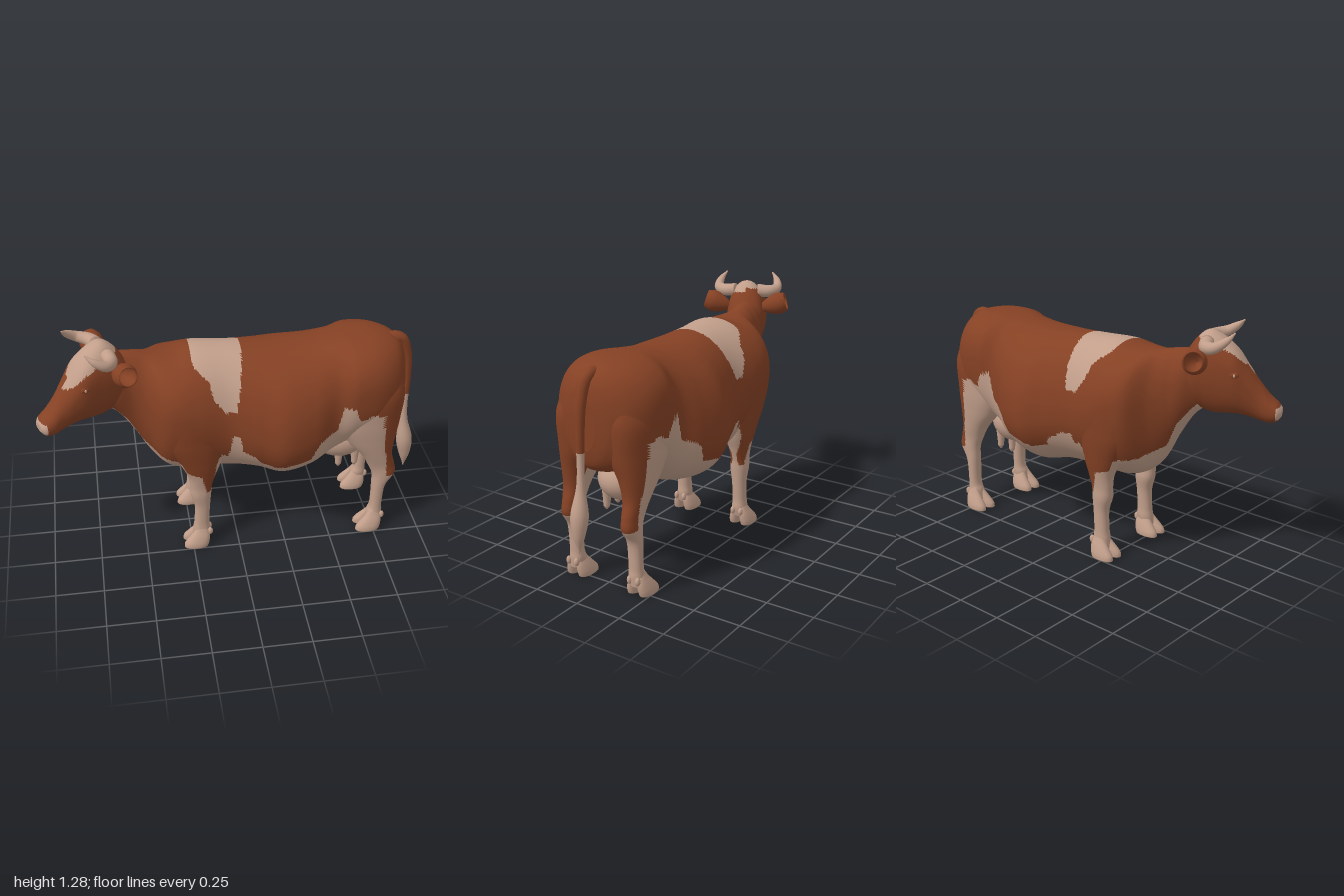
import * as THREE from 'three';

const brown = new THREE.MeshStandardMaterial({ color: 0x854124 });
brown.name = 'russet hide';
const cream = new THREE.MeshStandardMaterial({ color: 0xc19e8a });
cream.name = 'cream hide';

// Straight-line lookup in [x, y] points
function lookup(pts, x) {
  if (x <= pts[0][0]) return pts[0][1];
  for (let i = 1; i < pts.length; i++) {
    const [a, b] = [pts[i - 1], pts[i]];
    if (x <= b[0]) return a[1] + (b[1] - a[1]) * (x - a[0]) / (b[0] - a[0]);
  }
  return pts[pts.length - 1][1];
}

// Smooth blend of section rows, t in 0..1
function blend(rows, t) {
  const f = t * (rows.length - 1), i = Math.min(Math.floor(f), rows.length - 2), k = f - i;
  const row = j => rows[Math.max(0, Math.min(rows.length - 1, j))];
  return rows[0].map((_, c) => {
    const [p, q, r, s] = [row(i - 1)[c], row(i)[c], row(i + 1)[c], row(i + 2)[c]];
    return q + 0.5 * k * (r - p + k * (2 * p - 5 * q + 4 * r - s + k * (3 * (q - r) + s - p)));
  });
}

// Closed skin through rings; isCream(x, y, z) picks the colour of each face
function skin(name, pointAt, n, m, isCream) {
  const pos = [], tris = [];
  for (let i = 0; i <= n; i++)
    for (let j = 0; j < m; j++) pos.push(pointAt(i / n, j / m * Math.PI * 2));
  for (const start of [0, n * m]) {
    const mid = new THREE.Vector3();
    for (let j = 0; j < m; j++) mid.addScaledVector(pos[start + j], 1 / m);
    pos.push(mid);
  }
  for (let j = 0; j < m; j++) {
    const k = (j + 1) % m;
    for (let i = 0; i < n; i++) {
      const a = i * m + j, b = i * m + k;
      tris.push([a, b, a + m], [b, b + m, a + m]);
    }
    tris.push([k, j, (n + 1) * m], [n * m + j, n * m + k, (n + 1) * m + 1]);
  }
  // Turn the faces outward
  let volume = 0;
  const cross = new THREE.Vector3();
  for (const [a, b, c] of tris) volume += pos[a].dot(cross.crossVectors(pos[b], pos[c]));
  if (volume < 0) tris.forEach(t => t.reverse());
  const parts = [[], []];
  for (const t of tris) {
    const c = [0, 1, 2].map(d => t.reduce((s, v) => s + pos[v].getComponent(d), 0) / 3);
    parts[isCream(...c) ? 1 : 0].push(...t);
  }
  const g = new THREE.BufferGeometry().setFromPoints(pos);
  g.setIndex([...parts[0], ...parts[1]]);
  g.addGroup(0, parts[0].length, 0);
  g.addGroup(parts[0].length, parts[1].length, 1);
  g.computeVertexNormals();
  const mesh = new THREE.Mesh(g, [brown, cream]);
  mesh.name = name;
  return mesh;
}

const power = (v, e) => Math.sign(v) * Math.pow(Math.abs(v), e);

// Upright rings: [x, top, bottom, halfWidth, widestY, roundness, zCentre]
const trunk = rows => (t, a) => {
  const [x, top, bottom, w, wy, e, zc] = blend(rows, t);
  const s = Math.sin(a);
  return new THREE.Vector3(x, wy + (s > 0 ? top - wy : wy - bottom) * power(s, e), zc + w * power(Math.cos(a), e));
};

// Level rings: [y, x0, x1, z0, z1], mirrored by side
const column = (rows, side) => (t, a) => {
  const [y, x0, x1, z0, z1] = blend(rows, t);
  return new THREE.Vector3((x0 + x1) / 2 + (x1 - x0) / 2 * power(Math.cos(a), 0.9), y,
    side * ((z0 + z1) / 2 + (z1 - z0) / 2 * power(Math.sin(a), 0.9)));
};

// Tapering tube: [x, y, z, radius]
function taper(name, rows, isCream, n = 40) {
  const curve = new THREE.CatmullRomCurve3(rows.map(r => new THREE.Vector3(r[0], r[1], r[2])));
  const fr = curve.computeFrenetFrames(n);
  return skin(name, (t, a) => {
    const i = Math.round(t * n), r = blend(rows, t)[3];
    return curve.getPoint(t).addScaledVector(fr.normals[i], r * Math.cos(a)).addScaledVector(fr.binormals[i], r * Math.sin(a));
  }, n, 18, isCream);
}

function ball(name, mat, x, y, z, sx, sy, sz) {
  const m = new THREE.Mesh(new THREE.SphereGeometry(1, 22, 16), mat);
  m.name = name;
  m.position.set(x, y, z);
  m.scale.set(sx, sy, sz);
  return m;
}

// Coat pattern: cream under the belly line and above the saddle line
const bellyLine = [[-0.68, 0.92], [-0.62, 0.86], [-0.55, 0.77], [-0.49, 0.64], [-0.4, 0.58], [-0.3, 0.56], [-0.27, 0.5],
  [-0.2, 0.48], [-0.17, 0.36], [-0.15, 0.36], [-0.13, 0.44], [-0.12, 0.55], [-0.09, 0.62], [-0.06, 0.6], [-0.04, 0.75],
  [0, 0.75], [0.01, 0.65], [0.08, 0.61], [0.11, 0.56], [0.18, 0.54], [0.3, 0.57], [0.36, 0.58], [0.4, 0.68], [0.5, 0.73],
  [0.53, 0.87], [0.59, 0.85], [0.62, 0.77], [0.68, 0.8], [0.75, 0.78], [0.765, 0.58], [0.79, 0.5], [0.8, 0.36], [0.9, 0.35]];
const saddleLine = [[-0.24, 1.2], [-0.22, 1.1], [-0.15, 1.04], [-0.13, 0.96], [-0.08, 0.89], [-0.02, 0.88], [0, 0.97],
  [0.02, 1.08], [0.05, 1.2]];
const coat = (x, y) => y < lookup(bellyLine, x) || y > lookup(saddleLine, x);
// The spike behind the foreleg is lower on the right, and the brisket is all cream
const bodyCoat = (x, y, z) => (coat(x, y) && !(z < 0 && Math.abs(x) < 0.1 && y > 0.66 && y < 0.8)) || (x < -0.1 && y < 0.55);
const allCream = () => true;

const bodyRows = [
  [-0.68, 1.12, 0.88, 0.06, 1.0, 1, 0.07], [-0.6, 1.15, 0.81, 0.1, 1.0, 1, 0.035], [-0.52, 1.145, 0.68, 0.108, 0.95, 1, 0.018],
  [-0.45, 1.13, 0.55, 0.15, 0.88, 1, 0.008], [-0.38, 1.12, 0.475, 0.245, 0.86, 0.95, 0], [-0.3, 1.12, 0.44, 0.275, 0.86, 0.94, 0],
  [-0.2, 1.14, 0.43, 0.28, 0.82, 1, 0], [-0.05, 1.135, 0.435, 0.27, 0.76, 1, 0], [0.1, 1.125, 0.43, 0.31, 0.72, 0.98, 0],
  [0.23, 1.12, 0.4, 0.35, 0.7, 0.96, 0], [0.38, 1.125, 0.43, 0.32, 0.72, 0.92, 0], [0.5, 1.14, 0.5, 0.267, 0.79, 0.82, 0],
  [0.6, 1.15, 0.56, 0.28, 0.9, 0.78, 0], [0.72, 1.15, 0.6, 0.268, 0.9, 0.82, 0], [0.82, 1.125, 0.62, 0.215, 0.88, 0.9, 0],
  [0.875, 1.07, 0.66, 0.135, 0.88, 0.95, 0], [0.897, 1.0, 0.74, 0.06, 0.88, 1, 0]];
const headRows = [
  [0.05, 1.12, 0.95, 0.07, 1.04, 1, 0], [0, 1.2, 0.88, 0.1, 1.06, 1, 0], [-0.06, 1.25, 0.85, 0.105, 1.06, 1, 0],
  [-0.12, 1.235, 0.84, 0.105, 1.06, 0.95, 0], [-0.2, 1.17, 0.845, 0.103, 1.05, 0.9, 0], [-0.26, 1.09, 0.84, 0.085, 0.99, 0.9, 0],
  [-0.32, 1.01, 0.825, 0.068, 0.92, 0.9, 0], [-0.37, 0.95, 0.815, 0.067, 0.88, 0.9, 0], [-0.41, 0.915, 0.825, 0.06, 0.87, 0.9, 0],
  [-0.43, 0.89, 0.85, 0.035, 0.87, 0.9, 0]];
const blazeLine = [[-0.32, 1.2], [-0.29, 1.05], [-0.25, 1.075], [-0.2, 1.125], [-0.12, 1.165], [-0.05, 1.185], [0, 1.2]];
const frontLegRows = [
  [0.05, -0.25, -0.165, 0.148, 0.224], [0.1, -0.245, -0.155, 0.142, 0.222], [0.15, -0.238, -0.158, 0.145, 0.218],
  [0.25, -0.235, -0.152, 0.142, 0.218], [0.33, -0.255, -0.145, 0.13, 0.225], [0.39, -0.258, -0.14, 0.134, 0.225],
  [0.46, -0.268, -0.12, 0.125, 0.235], [0.55, -0.31, -0.09, 0.1, 0.252], [0.7, -0.38, -0.07, 0.09, 0.272],
  [0.88, -0.38, -0.1, 0.09, 0.272], [1.02, -0.32, -0.16, 0.1, 0.18]];
const hindLegRows = [
  [0.05, 0.71, 0.8, 0.148, 0.224], [0.1, 0.72, 0.803, 0.142, 0.222], [0.15, 0.735, 0.8, 0.145, 0.218],
  [0.28, 0.735, 0.81, 0.142, 0.22], [0.36, 0.73, 0.855, 0.138, 0.222], [0.42, 0.705, 0.85, 0.135, 0.222],
  [0.5, 0.66, 0.83, 0.122, 0.235], [0.6, 0.575, 0.84, 0.09, 0.25], [0.72, 0.5, 0.862, 0.03, 0.262],
  [0.88, 0.5, 0.872, 0.02, 0.26], [1.02, 0.6, 0.83, 0.03, 0.2]];
// Claw rows: z is measured from the middle of the hoof
const clawRows = [[0, 0, 0.13, 0.002, 0.067], [0.025, 0.005, 0.138, 0, 0.066], [0.06, 0.035, 0.142, 0, 0.055],
  [0.09, 0.06, 0.137, 0, 0.042], [0.12, 0.08, 0.125, 0.005, 0.03]];

function leg(name, rows, toeX, side) {
  const g = new THREE.Group();
  g.name = name;
  g.add(skin('limb', column(rows, side), 120, 44, coat));
  for (const k of [-1, 1]) {
    const claw = clawRows.map(([y, a, b, c, d]) => [y, toeX + a, toeX + b, 0.187 + k * c, 0.187 + k * d]);
    g.add(skin('claw', column(claw, side), 16, 20, allCream));
    g.add(ball('dewclaw', cream, toeX + 0.143, 0.085, side * (0.187 + k * 0.024), 0.015, 0.022, 0.013));
  }
  return g;
}

function makeHead() {
  const head = new THREE.Group();
  head.name = 'head';
  head.position.set(-0.6, 0, 0.04);
  head.rotation.y = 0.41;
  head.add(skin('skull', trunk(headRows), 80, 56,
    (x, y, z) => y > lookup(blazeLine, x) + (z < 0 ? 0.025 : 0) || (x < -0.405 && y > 0.84 && y < 0.9)));
  const earProfile = [[0.001, 0], [0.022, 0.01], [0.043, 0.05], [0.058, 0.09], [0.06, 0.12], [0.049, 0.152], [0.044, 0.148],
    [0.052, 0.118], [0.049, 0.09], [0.032, 0.05], [0.001, 0.035]];
  for (const s of [-1, 1]) {
    head.add(taper('horn', [[-0.065, 1.2, s * 0.06, 0.036], [-0.075, 1.195, s * 0.125, 0.033], [-0.12, 1.205, s * 0.165, 0.027],
      [-0.175, 1.24, s * 0.158, 0.018], [-0.21, 1.275, s * 0.13, 0.004]], allCream, 24));
    // Cupped ear pointing outward and a little up
    const ear = new THREE.Mesh(new THREE.LatheGeometry(earProfile.map(p => new THREE.Vector2(...p)), 28), brown);
    ear.name = 'ear';
    ear.position.set(-0.035, 1.105, s * 0.08);
    ear.rotation.x = s * 1.28;
    head.add(ear);
    head.add(ball('eyelid', brown, -0.2, 1.06, s * 0.09, 0.03, 0.02, 0.016));
    head.add(ball('eye', cream, -0.208, 1.06, s * 0.104, 0.006, 0.009, 0.004));
  }
  return head;
}

export function createModel() {
  const cow = new THREE.Group();
  cow.name = 'cow';
  cow.add(skin('body', trunk(bodyRows), 210, 124, bodyCoat));
  cow.add(makeHead());
  for (const s of [-1, 1]) {
    cow.add(leg('frontLeg', frontLegRows, -0.3, s));
    cow.add(leg('hindLeg', hindLegRows, 0.655, s));
    for (const x of [0.57, 0.66])
      cow.add(taper('teat', [[x, 0.46, s * 0.065, 0.028], [x, 0.4, s * 0.07, 0.02], [x, 0.362, s * 0.072, 0.016], [x, 0.346, s * 0.072, 0.006]], allCream, 12));
  }
  cow.add(ball('udder', cream, 0.58, 0.515, 0, 0.16, 0.12, 0.138));
  cow.add(taper('tail', [[0.79, 1.1, 0, 0.03], [0.87, 1.095, 0, 0.031], [0.913, 1.0, 0, 0.027], [0.93, 0.85, 0, 0.022],
    [0.933, 0.68, 0, 0.018], [0.94, 0.57, 0, 0.022], [0.955, 0.44, 0, 0.043], [0.965, 0.34, 0, 0.03], [0.968, 0.25, 0, 0.003]],
  (x, y) => y < 0.75, 60));
  return cow;
}
